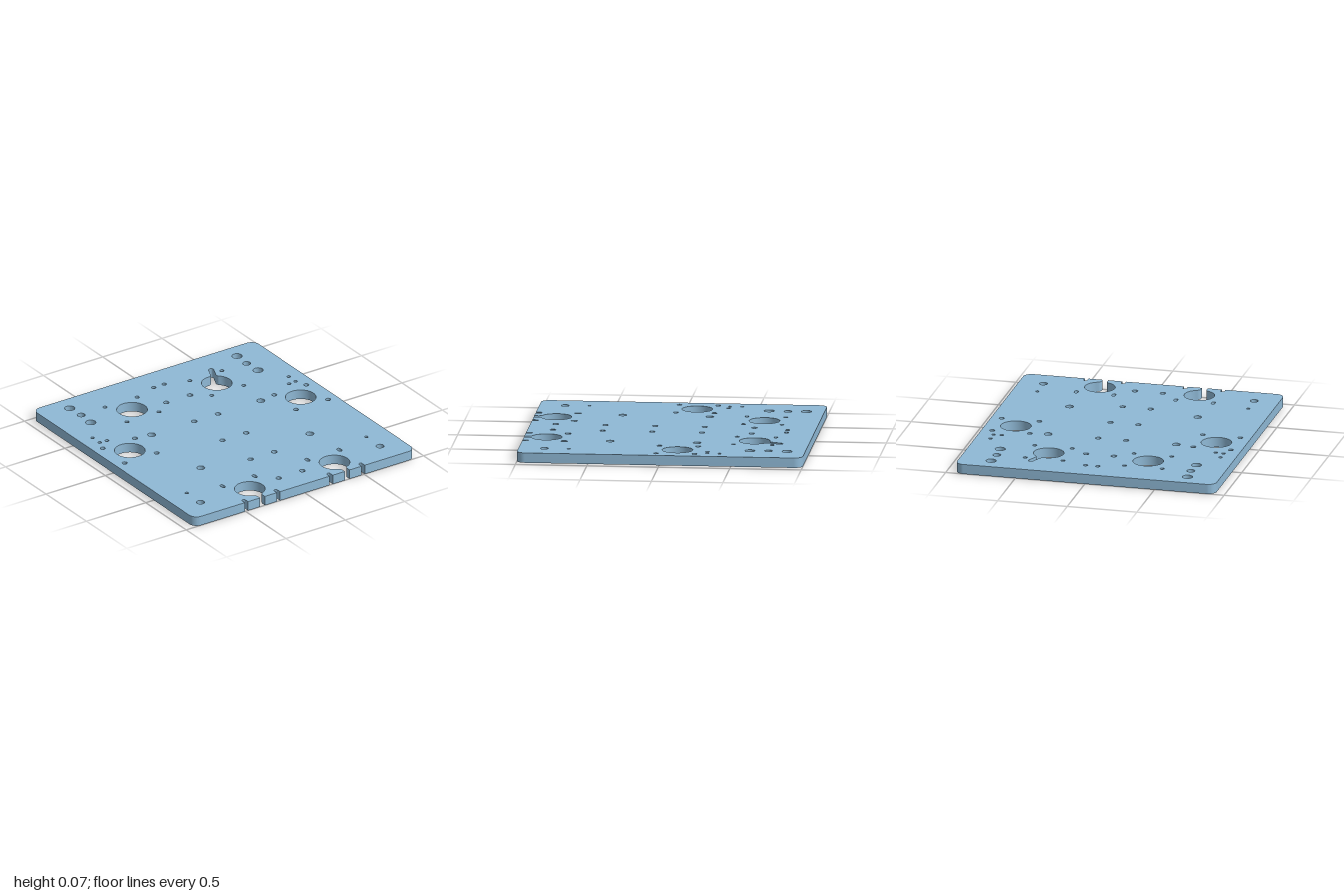
import * as THREE from 'three';
import { toCreasedNormals } from 'three/addons/utils/BufferGeometryUtils.js';

const W = 0.9325, L = 1, T = 0.07, CORNER = 0.06;
const BORE = 0.107, NECK = 0.02, FILLET = 0.03, SLOT = 0.0135;

// Points along an arc from angle a0 to a1
function arc(cx, cy, r, a0, a1, n) {
  return Array.from({ length: n + 1 }, (_, i) => {
    const a = a0 + (a1 - a0) * i / n;
    return new THREE.Vector2(cx + r * Math.cos(a), cy + r * Math.sin(a));
  });
}

// Large bore with a filleted neck leaving towards -y, centred on the origin
function keyhole(neck) {
  const u = neck + FILLET, v = Math.sqrt((BORE + FILLET) ** 2 - u * u);
  const b = Math.atan2(v, u);
  return [
    ...arc(-u, -v, FILLET, 0, b, 6),
    ...arc(0, 0, BORE, Math.PI + b, -b, 48),
    ...arc(u, -v, FILLET, Math.PI - b, Math.PI, 6),
  ];
}

// Rows of [x, z, radius], mirrored to both sides
const HOLES = [
  [0.72, -0.108, BORE],
  [0.705, -0.873, 0.036], [0.697, -0.743, 0.028], [0.705, -0.613, 0.036],
  [0.044, -0.805, 0.016],
  [0.46, -0.22, 0.028], [0.46, 0.388, 0.028],
  [0.826, -0.412, 0.013], [0.826, -0.326, 0.013], [0.768, -0.321, 0.014],
  [0.757, 0.65, 0.012], [0.757, 0.82, 0.028],
];
for (const z of [-0.567, -0.22, 0.128, 0.475, 0.823]) HOLES.push([0.1, z, 0.02]);
for (const x of [0.222, 0.492]) for (const z of [-0.748, -0.478]) HOLES.push([x, z, 0.015]);
for (const x of [0.587, 0.857]) for (const z of [-0.24, 0.03]) HOLES.push([x, z, 0.018]);

// Plate outline drawn in (x, -z), with notches along the front edge
function plateOutline() {
  const pts = arc(-W + CORNER, -L + CORNER, CORNER, Math.PI, 1.5 * Math.PI, 10);
  const notch = x => pts.push(
    new THREE.Vector2(x - SLOT, -L),
    ...arc(x, -0.955 - SLOT, SLOT, Math.PI, 0, 8),
    new THREE.Vector2(x + SLOT, -L));
  const openBore = x => pts.push(
    new THREE.Vector2(x - NECK, -L),
    ...keyhole(NECK).map(p => p.add(new THREE.Vector2(x, -0.843))),
    new THREE.Vector2(x + NECK, -L));
  for (const s of [-1, 1]) {
    notch(s * 0.357 - 0.135);
    openBore(s * 0.357);
    notch(s * 0.357 + 0.135);
  }
  pts.push(
    ...arc(W - CORNER, -L + CORNER, CORNER, -Math.PI / 2, 0, 10),
    ...arc(W - CORNER, L - CORNER, CORNER, 0, Math.PI / 2, 10),
    ...arc(-W + CORNER, L - CORNER, CORNER, Math.PI / 2, Math.PI, 10));
  return new THREE.Shape(pts);
}

export function createModel() {
  const shape = plateOutline();
  const cut = pts => shape.holes.push(new THREE.Path(pts));
  const round = (x, z, r) => {
    const n = r > 0.05 ? 56 : 24;
    cut(arc(x, -z, r, 0, Math.PI * 2, n).slice(0, n));
  };

  // Round holes on both sides
  for (const [x, z, r] of HOLES) for (const s of [-1, 1]) round(s * x, z, r);
  round(-0.357, -0.613, BORE);

  // Rear bore with a slanted cable slot
  const turn = Math.PI - 0.405;
  cut([...keyhole(0.018), ...arc(0, -0.204, 0.018, 0, -Math.PI, 10)].map(p =>
    p.rotateAround(new THREE.Vector2(), turn).add(new THREE.Vector2(0.357, 0.613))));

  // Short adjustment slots near the front
  for (const x of [-0.492, -0.222, 0.222, 0.492]) {
    cut([
      ...arc(x, -0.682 - SLOT, SLOT, 0, Math.PI, 8),
      ...arc(x, -0.73 + SLOT, SLOT, Math.PI, Math.PI * 2, 8),
    ]);
  }

  const geo = new THREE.ExtrudeGeometry(shape, { depth: T, bevelEnabled: false });
  geo.rotateX(-Math.PI / 2);
  const plate = new THREE.Mesh(
    toCreasedNormals(geo, 0.5),
    new THREE.MeshStandardMaterial({ color: 0x8fb9d6 }));
  plate.name = 'mountingPlate';

  const group = new THREE.Group();
  group.name = 'drilledPlate';
  group.add(plate);
  return group;
}
